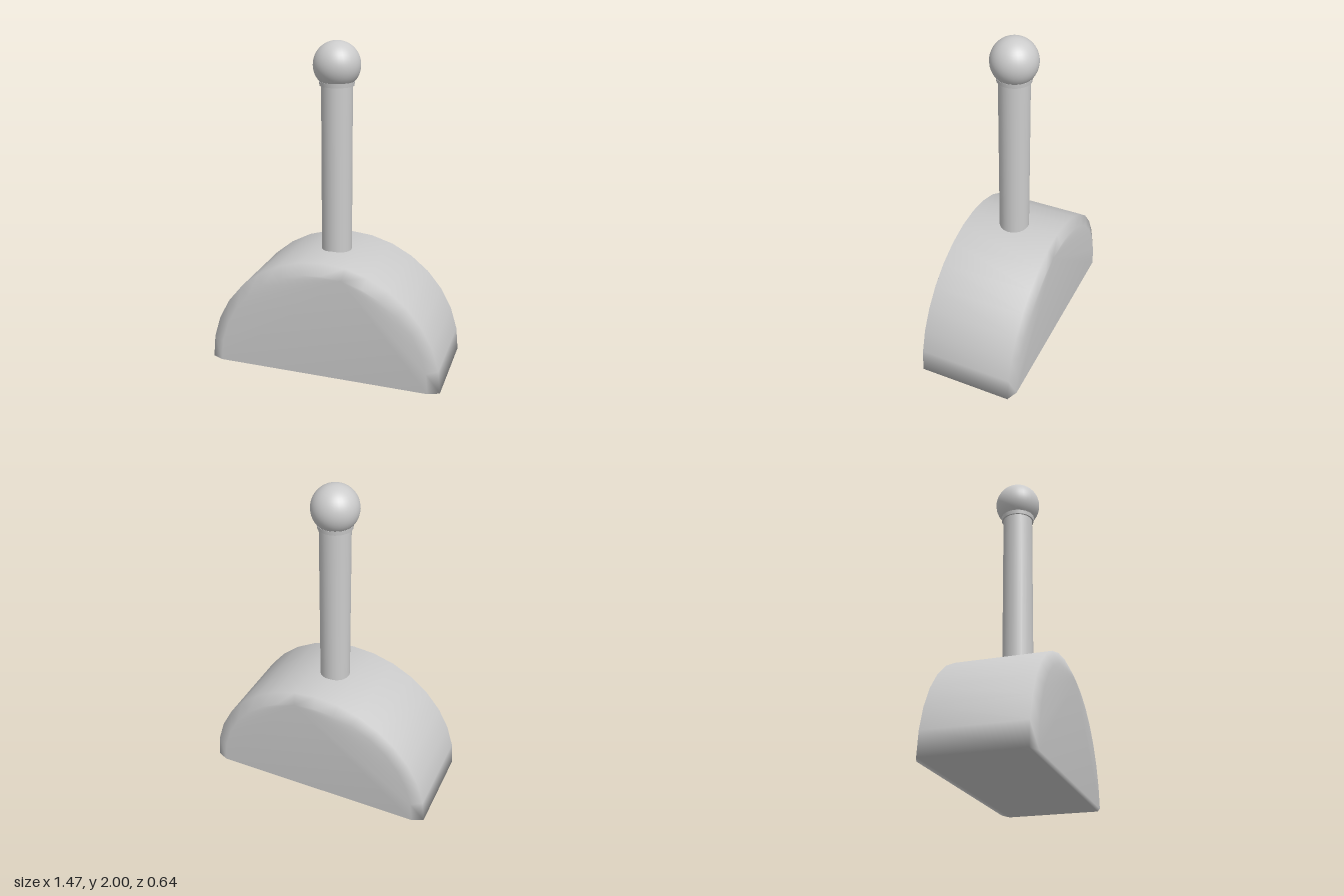
import * as THREE from 'three';

const material = new THREE.MeshStandardMaterial({ color: 0xcccccc, side: THREE.DoubleSide });

function addPart(group, name, geometry, y = 0) {
  const mesh = new THREE.Mesh(geometry, material);
  mesh.name = name;
  mesh.position.y = y;
  group.add(mesh);
}

// Half-round block: four semicircular rings, the outer two smaller for the bevel.
function halfRoundBlock() {
  const segments = 16, apex = 7, stride = segments + 1;
  const rings = [[-0.32, 0.665], [-0.29, 0.735], [0.29, 0.735], [0.32, 0.665]];
  const positions = [], indices = [];
  for (const [z, radius] of rings) {
    for (let i = 0; i <= segments; i++) {
      const angle = Math.PI * i / segments;
      positions.push(radius * Math.cos(angle), radius * Math.sin(angle), z);
    }
  }
  // Curved skin and flat underside; the last step of each ring closes the base
  for (let r = 0; r < rings.length - 1; r++) {
    for (let i = 0; i < stride; i++) {
      const a = r * stride + i, b = r * stride + (i + 1) % stride;
      indices.push(a, b, b + stride, a, b + stride, a + stride);
    }
  }
  // End faces, fanned from a point near the crown
  const front = (rings.length - 1) * stride;
  for (let k = 1; k < stride - 1; k++) {
    const a = (apex + k) % stride, b = (apex + k + 1) % stride;
    indices.push(front + apex, front + a, front + b, apex, b, a);
  }
  const geometry = new THREE.BufferGeometry();
  geometry.setAttribute('position', new THREE.Float32BufferAttribute(positions, 3));
  geometry.setIndex(indices);
  geometry.computeVertexNormals();
  return geometry;
}

export function createModel() {
  const group = new THREE.Group();
  group.name = 'handledBlock';

  addPart(group, 'halfRoundBase', halfRoundBlock());

  // Handle shaft, set slightly into the base
  addPart(group, 'handleShaft', new THREE.CylinderGeometry(0.093, 0.093, 1.05, 24), 1.225);

  // Thin collar below the knob
  addPart(group, 'collar', new THREE.CylinderGeometry(0.105, 0.102, 0.025, 32), 1.753);

  // Ball knob
  addPart(group, 'knob', new THREE.SphereGeometry(0.14, 32, 24), 1.86);

  return group;
}
